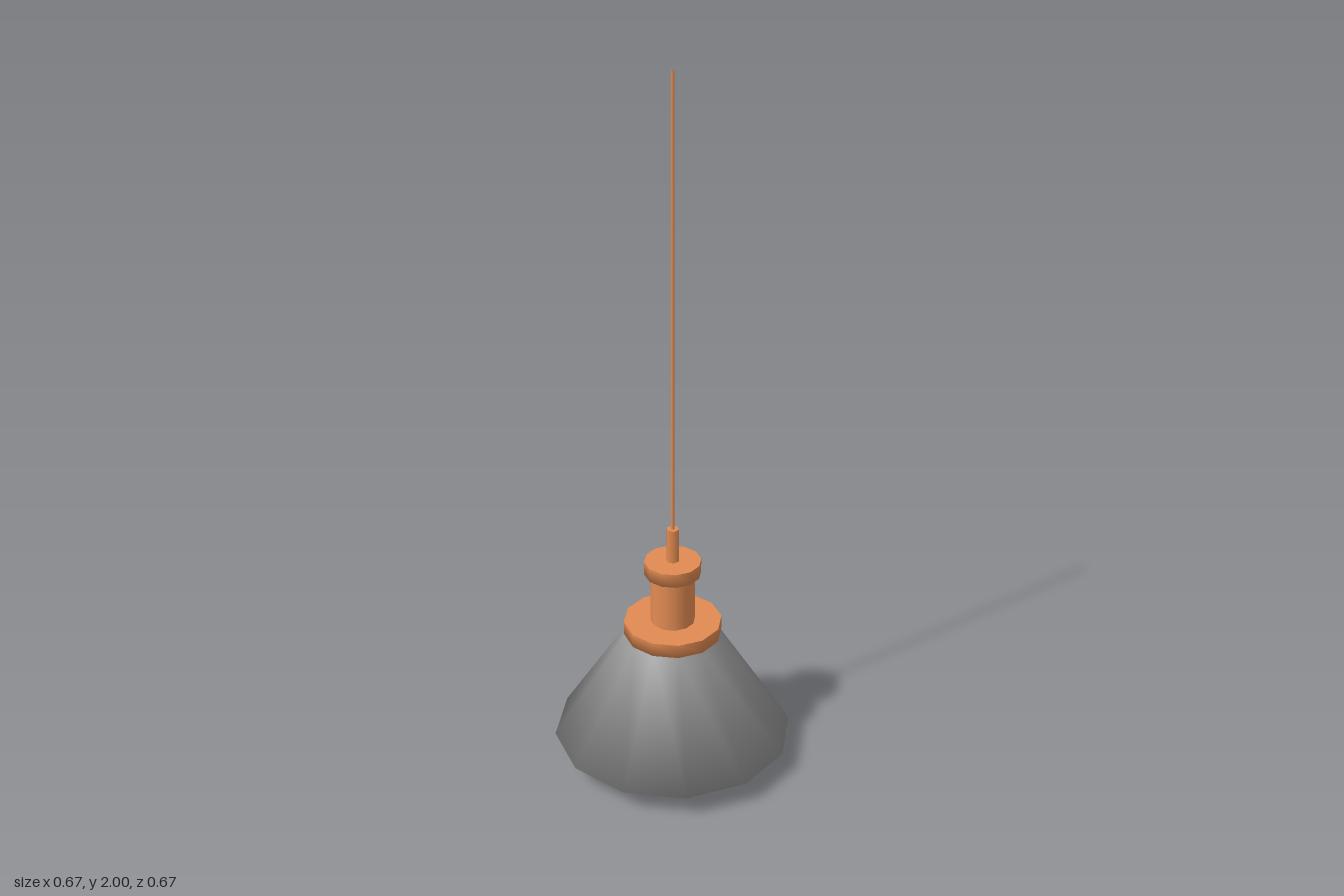
import * as THREE from 'three';

const copper = new THREE.MeshStandardMaterial({ color: 0xe28b52 });
const darkGrey = new THREE.MeshStandardMaterial({ color: 0x989898, side: THREE.DoubleSide });
const grey = new THREE.MeshStandardMaterial({ color: 0xcccccc });

// Turned shape whose normals blend evenly over every corner of the profile
function smoothLathe(profile, sides) {
  const points = profile.map(([r, y]) => new THREE.Vector2(r, y));
  const faces = points.slice(1).map((p, i) =>
    new THREE.Vector2(p.y - points[i].y, points[i].x - p.x).normalize());
  const corners = points.map((p, i) => {
    const before = faces[Math.max(i - 1, 0)];
    const after = faces[Math.min(i, faces.length - 1)];
    return before.clone().add(after).normalize();
  });
  const geometry = new THREE.LatheGeometry(points, sides);
  const normal = geometry.attributes.normal;
  for (let i = 0; i < normal.count; i++) {
    const c = corners[i % points.length];
    const angle = (Math.floor(i / points.length) / sides) * Math.PI * 2;
    normal.setXYZ(i, c.x * Math.sin(angle), c.y, c.x * Math.cos(angle));
  }
  return geometry;
}

export function createModel() {
  const lamp = new THREE.Group();
  lamp.name = 'pendantLamp';

  const add = (name, geometry, material, parent = lamp) => {
    const mesh = new THREE.Mesh(geometry, material);
    mesh.name = name;
    parent.add(mesh);
  };

  // Upright cylinder between two heights, with a corner on the x axis
  const drum = (name, radius, bottom, top, sides, open = false) => {
    const geometry = new THREE.CylinderGeometry(radius, radius, top - bottom, sides, 1, open);
    geometry.rotateY(Math.PI / 2).translate(0, (bottom + top) / 2, 0);
    add(name, geometry, copper);
  };

  // Ring with a soft lower edge and a crisp flat top
  const flange = (name, radius, bottom, top) => {
    const group = new THREE.Group();
    group.name = name;
    lamp.add(group);
    add(name + 'Side', smoothLathe([[0, bottom], [radius, bottom], [radius, top]], 12), copper, group);
    const disc = new THREE.CircleGeometry(radius, 12);
    add(name + 'Top', disc.rotateX(-Math.PI / 2).translate(0, top, 0), copper, group);
  };

  // Copper fittings and hanging cable
  flange('collar', 0.137, 0.39, 0.43);
  drum('neck', 0.062, 0.43, 0.58, 12);
  flange('cap', 0.079, 0.58, 0.62);
  drum('stem', 0.018, 0.62, 0.72, 6);
  drum('cable', 0.005, 0.72, 2, 6, true);

  // Conical shade: inner wall, flat rim, outer wall
  const shade = [[0.112, 0.39], [0.317, 0.066], [0.337, 0.066], [0.132, 0.39]];
  add('shade', smoothLathe(shade, 12), darkGrey);

  // Bulb with its narrow base reaching up into the collar
  const bulb = [
    [0, 0], [0.042, 0.008], [0.078, 0.032], [0.103, 0.066], [0.123, 0.105], [0.131, 0.15],
    [0.117, 0.21], [0.077, 0.26], [0.045, 0.3], [0.045, 0.39],
  ];
  add('bulb', smoothLathe(bulb, 12), grey);

  return lamp;
}
